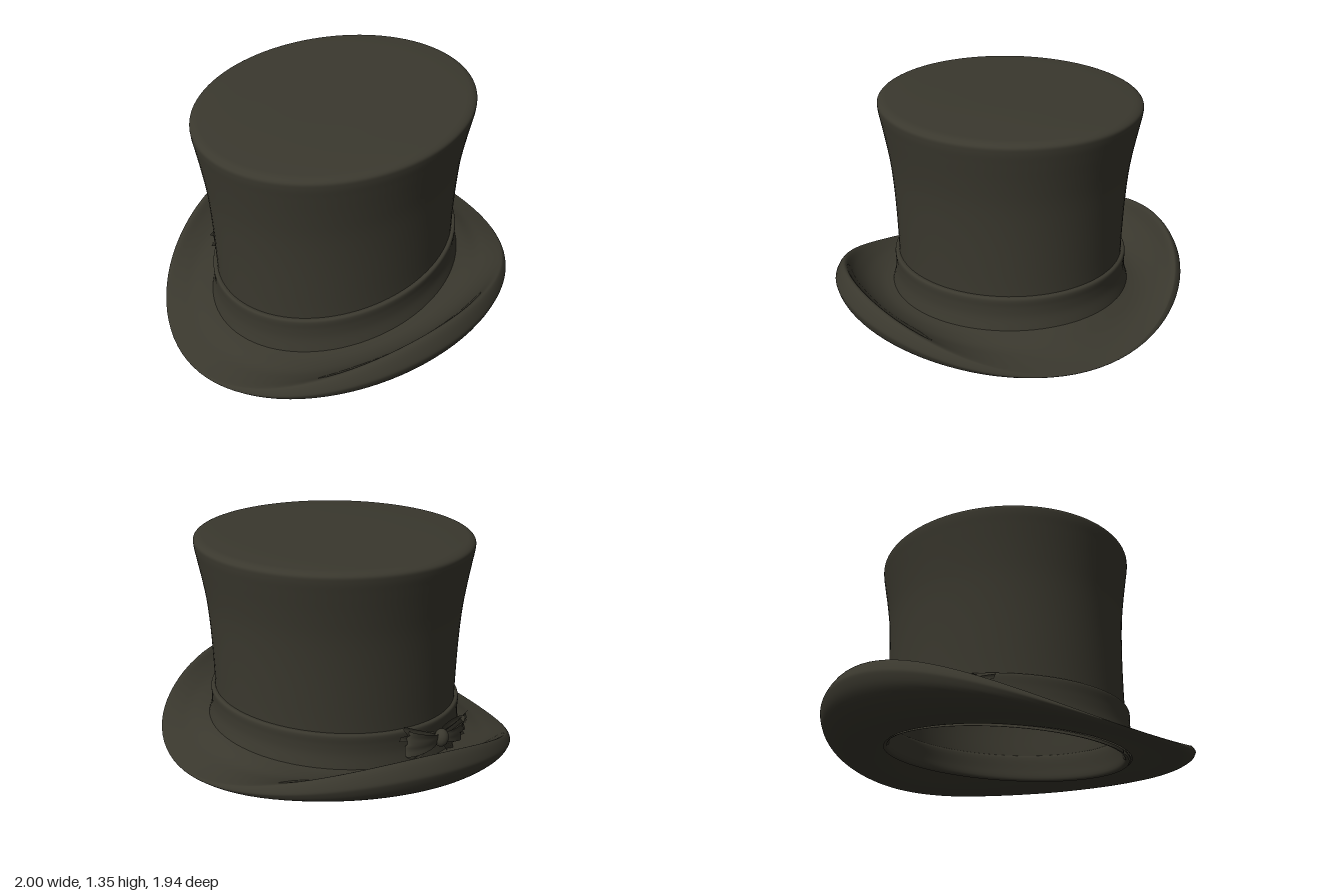
import * as THREE from 'three';

const felt = new THREE.MeshStandardMaterial({ color: 0x3a382e, side: THREE.DoubleSide });
felt.name = 'dark felt';

// Smooth surface from rows of points; fn(u, row) gives [x, y, z], u wraps when closed.
function grid(cols, rows, fn, closed = true) {
  const pos = [], idx = [], n = closed ? cols : cols + 1;
  for (let j = 0; j <= rows; j++)
    for (let i = 0; i < n; i++) pos.push(...fn(i / cols, j));
  for (let j = 0; j < rows; j++)
    for (let i = 0; i < cols; i++) {
      const k = (i + 1) % n;
      const a = j * n + i, b = j * n + k, c = a + n, d = b + n;
      idx.push(a, b, c, b, d, c);
    }
  const g = new THREE.BufferGeometry();
  g.setAttribute('position', new THREE.Float32BufferAttribute(pos, 3));
  g.setIndex(idx);
  g.computeVertexNormals();
  return g;
}

function add(parent, name, geometry) {
  const m = new THREE.Mesh(geometry, felt);
  m.name = name;
  parent.add(m);
  return m;
}

// Oval ring surface; each profile point is [scale, height, tilt along x].
function oval(profile, steps) {
  const curve = new THREE.CatmullRomCurve3(profile.map(p => new THREE.Vector3(...p)), false, 'centripetal');
  const rows = Array.from({ length: steps + 1 }, (_, j) => curve.getPoint(j / steps));
  return grid(96, steps, (u, j) => {
    const a = u * Math.PI * 2, { x: s, y, z: tilt } = rows[j];
    return [
      0.757 * s * Math.cos(a) + 0.006,
      y + tilt * Math.cos(a),
      0.67 * Math.pow(Math.max(s, 0), 1.2) * Math.sin(a) - 0.005,
    ];
  });
}

// Brim cross-sections, inner edge over the top, round the rim and back underneath:
// [fraction across the brim, height above its inner edge]
const endSection = [[0, 0], [0.2, -0.02], [0.45, -0.055], [0.7, -0.08], [0.95, -0.103], [0.98, -0.106], [1, -0.11],
  [0.98, -0.115], [0.92, -0.118], [0.75, -0.11], [0.45, -0.095], [0.15, -0.07], [-0.04, -0.05]];
const sideSection = [[0, 0], [0.25, 0], [0.5, 0.04], [0.7, 0.11], [0.81, 0.18], [0.9, 0.17], [0.99, 0.115],
  [1, 0.08], [0.93, 0.02], [0.75, -0.035], [0.45, -0.055], [0.15, -0.055], [-0.04, -0.05]];

function brimGeometry() {
  const cols = 96, rows = 48;
  const sections = Array.from({ length: cols }, (_, i) => {
    const s = Math.sin(i / cols * Math.PI * 2), w = s * s;
    return new THREE.SplineCurve(endSection.map((e, k) => new THREE.Vector2(
      THREE.MathUtils.lerp(e[0], sideSection[k][0], w),
      THREE.MathUtils.lerp(e[1], sideSection[k][1], w))));
  });
  return grid(cols, rows, (u, j) => {
    const a = u * Math.PI * 2, c = Math.cos(a), s = Math.sin(a);
    const p = sections[Math.round(u * cols)].getPoint(j / rows);
    const lift = s < 0 ? 0.03 * s * s * p.x * p.x : 0;
    return [
      THREE.MathUtils.lerp(0.725, 1, p.x) * c,
      0.23 + 0.11 * c + p.y + lift,
      THREE.MathUtils.lerp(0.62, 0.968, p.x) * s,
    ];
  });
}

// Flattened ribbon loop, widening away from the knot
function loopGeometry(dir, length, height) {
  return grid(28, 6, (u, j) => {
    const t = u * Math.PI * 2, k = (1 - Math.cos(t)) / 2, v = j / 3 - 1;
    const x = 0.02 + length * k;
    const pleat = 0.008 * Math.cos(v * 7) * k;
    return [dir * x, v * (0.025 + height * k), 0.03 + 0.035 * Math.sin(t) + pleat - 0.45 * x * x];
  });
}

// Ribbon tail that follows the curve of the crown
function tailGeometry(length, angle, width) {
  return grid(8, 4, (u, j) => {
    const v = j / 2 - 1, l = length * (u + 0.12 * Math.abs(v) * u);
    const side = v * (0.012 + width * u);
    const x = Math.cos(angle) * l - Math.sin(angle) * side;
    const y = Math.sin(angle) * l + Math.cos(angle) * side;
    return [x, y, 0.025 + 0.012 * Math.cos(v * 5) - 0.45 * x * x];
  }, false);
}

export function createModel() {
  const hat = new THREE.Group();
  hat.name = 'topHat';

  // Crown: flat top, rounded rim, waisted wall
  add(hat, 'crown', oval([[0, 1.327, 0], [0.5, 1.325, 0.02], [0.9, 1.315, 0.034], [0.97, 1.308, 0.036],
    [0.997, 1.292, 0.037], [0.998, 1.265, 0.038], [0.985, 1.2, 0.04], [0.96, 1.08, 0.05], [0.938, 0.95, 0.06],
    [0.925, 0.8, 0.07], [0.918, 0.6, 0.085], [0.918, 0.4, 0.1], [0.93, 0.2, 0.11]], 64));

  // Hollow inside and the sweatband
  add(hat, 'lining', oval([[0.935, 0.18, 0.11], [0.905, 0.24, 0.11], [0.9, 0.5, 0.09], [0.905, 0.8, 0.07],
    [0.94, 1.08, 0.05], [0.97, 1.24, 0.04], [0.95, 1.28, 0.036], [0.5, 1.3, 0.02], [0, 1.3, 0]], 48));
  add(hat, 'sweatband', oval([[0.925, 0.172, 0.11], [0.9, 0.18, 0.11], [0.892, 0.24, 0.11],
    [0.89, 0.33, 0.1], [0.905, 0.335, 0.1]], 16));

  // Ribbon band, deeper at the model's left
  add(hat, 'band', oval([[0.915, 0.421, 0.088], [0.938, 0.42, 0.088], [0.946, 0.41, 0.088], [0.945, 0.36, 0.094],
    [0.95, 0.3, 0.1], [0.975, 0.222, 0.11]], 24));

  add(hat, 'brim', brimGeometry());

  // Bow at the back
  const bow = new THREE.Group();
  bow.name = 'bow';
  bow.position.set(-0.24, 0.31, -0.6);
  bow.rotation.set(0, Math.PI + 0.27, -0.2, 'YXZ');
  const knot = add(bow, 'bowKnot', new THREE.SphereGeometry(1, 16, 10));
  knot.scale.set(0.038, 0.05, 0.04);
  knot.position.z = 0.045;
  add(bow, 'bowLoopRight', loopGeometry(1, 0.22, 0.04));
  add(bow, 'bowLoopLeft', loopGeometry(-1, 0.22, 0.045));
  [[0.31, -0.12, 0.025], [0.3, 0.12, 0.022], [0.2, -0.55, 0.03], [0.26, Math.PI - 0.2, 0.03], [0.22, Math.PI + 0.45, 0.03]]
    .forEach(t => add(bow, 'bowTail', tailGeometry(...t)));
  hat.add(bow);

  return hat;
}
